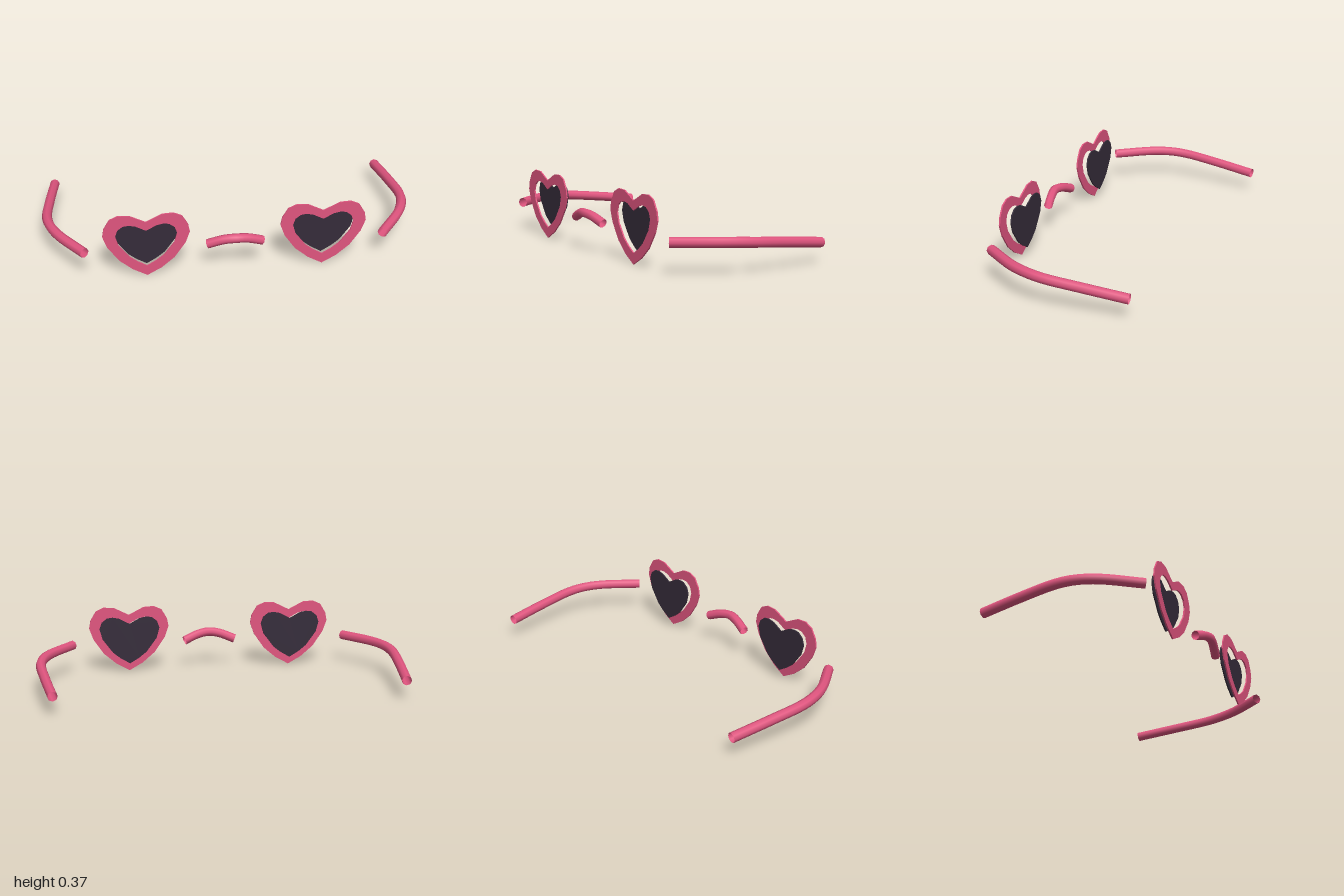
import * as THREE from 'three';

const v = (x, y, z) => new THREE.Vector3(x, y, z);

// Half outlines of the hearts, from the notch round to the bottom tip
const OUTER = [[0, 0.327], [0.085, 0.370], [0.143, 0.373], [0.187, 0.353], [0.218, 0.30],
  [0.226, 0.255], [0.203, 0.19], [0.145, 0.105], [0.075, 0.045], [0, 0.003]];
const INNER = [[0, 0.277], [0.055, 0.307], [0.09, 0.314], [0.12, 0.310], [0.148, 0.288],
  [0.16, 0.252], [0.145, 0.197], [0.09, 0.122], [0.05, 0.09], [0, 0.06]];

// Mirrors a half outline into a closed heart, optionally scaled about its middle
function heart(half, s = 1, cy = 0.183) {
  const pts = half.map(([x, y]) => [x, y]);
  const mirrored = half.slice(1, -1).reverse().map(([x, y]) => [-x, y]);
  return [...pts, ...mirrored].map(([x, y]) => new THREE.Vector2(x * s, cy + (y - cy) * s));
}

function plate(name, shape, depth, x, z, material) {
  const geo = new THREE.ExtrudeGeometry(shape, { depth, bevelEnabled: false });
  geo.translate(0, 0, -depth / 2);
  const mesh = new THREE.Mesh(geo, material);
  mesh.name = name;
  mesh.position.set(x, 0, z);
  return mesh;
}

function tube(name, points, radius, segments, material) {
  const curve = new THREE.CatmullRomCurve3(points);
  const mesh = new THREE.Mesh(new THREE.TubeGeometry(curve, segments, radius, 8, false), material);
  mesh.name = name;
  return mesh;
}

export function createModel() {
  const group = new THREE.Group();
  group.name = 'heartGlasses';
  const pink = new THREE.MeshStandardMaterial({ color: 0xe0557f, side: THREE.DoubleSide });
  const dark = new THREE.MeshStandardMaterial({ color: 0x352c3a, side: THREE.DoubleSide });

  for (const [side, s] of [['left', 1], ['right', -1]]) {
    // Heart-shaped rim with a heart-shaped opening
    const rim = new THREE.Shape(heart(OUTER));
    rim.holes.push(new THREE.Path(heart(INNER)));
    group.add(plate(side + 'Rim', rim, 0.008, s * 0.463, 0.388, pink));

    // Dark lens floating just behind the rim
    const lens = new THREE.Shape(heart(INNER, 1.06));
    group.add(plate(side + 'Lens', lens, 0.007, s * 0.463, 0.352, dark));

    // Temple arm sweeping outward, then back and down
    const arm = [[0.785, 0.163, 0.386], [0.915, 0.165, 0.2], [0.957, 0.163, 0.1], [0.973, 0.156, 0],
      [0.957, 0.136, -0.2], [0.928, 0.109, -0.437]];
    group.add(tube(side + 'Temple', arm.map(([x, y, z]) => v(s * x, y, z)), 0.027, 24, pink));
  }

  // Arched nose bridge
  group.add(tube('bridge', [v(-0.145, 0.166, 0.383), v(-0.06, 0.198, 0.402), v(0, 0.206, 0.411),
    v(0.06, 0.198, 0.402), v(0.145, 0.166, 0.383)], 0.025, 16, pink));

  return group;
}
